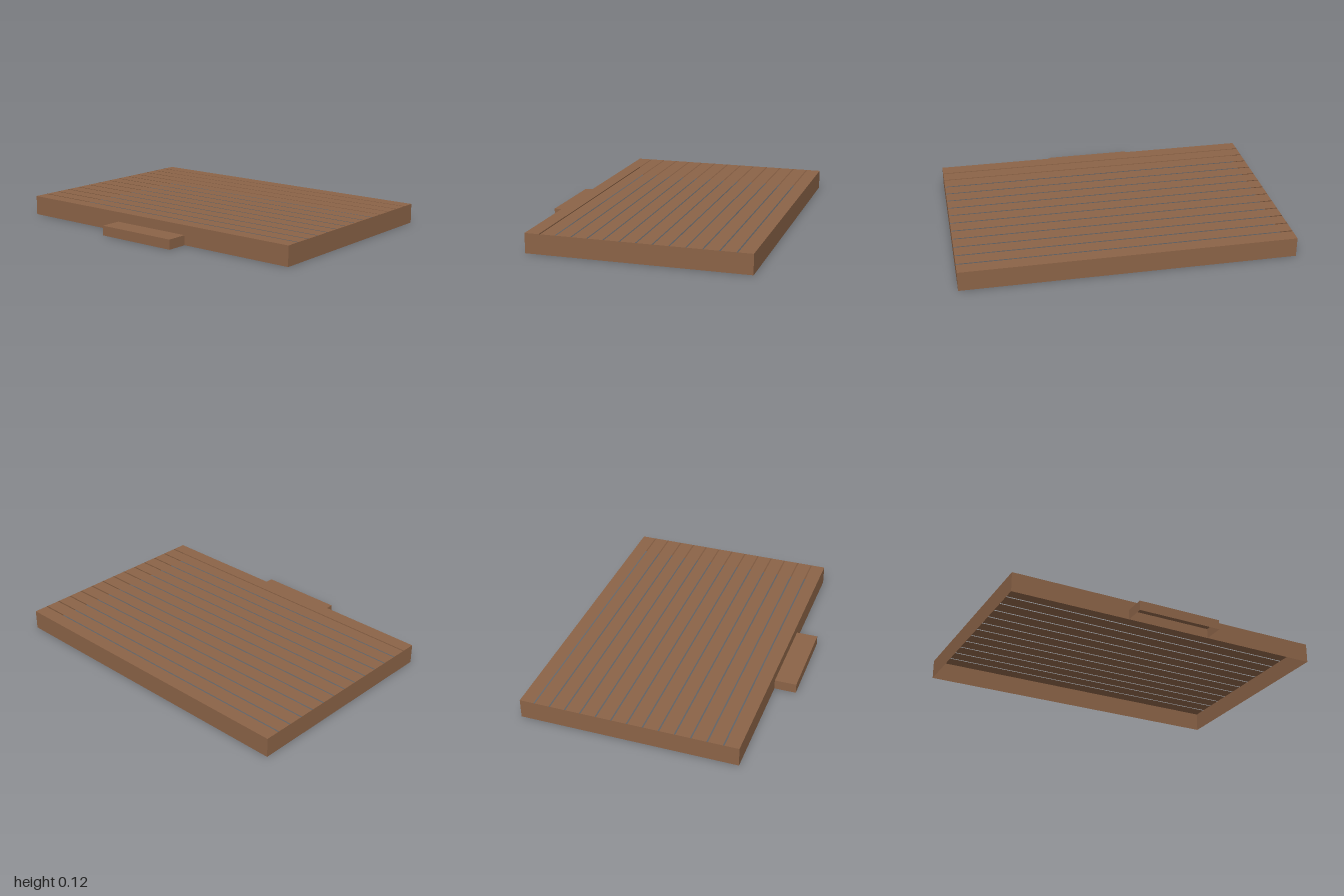
import * as THREE from 'three';

export function createModel() {
  const model = new THREE.Group();
  model.name = 'deck';
  const wood = new THREE.MeshStandardMaterial({ color: 0x8b6347, side: THREE.DoubleSide });
  wood.name = 'brown wood';

  // Thin vertical sheet standing on the ground, facing the given turn about y
  function wall(name, width, height, x, z, turn) {
    const mesh = new THREE.Mesh(new THREE.PlaneGeometry(width, height), wood);
    mesh.name = name;
    mesh.position.set(x, height / 2, z);
    mesh.rotation.y = turn;
    model.add(mesh);
  }

  // Thin horizontal sheet facing up
  function sheet(name, width, depth, y, z) {
    const mesh = new THREE.Mesh(new THREE.PlaneGeometry(width, depth), wood);
    mesh.name = name;
    mesh.position.set(0, y, z);
    mesh.rotation.x = -Math.PI / 2;
    model.add(mesh);
  }

  const back = -0.73, front = 0.597, height = 0.12;
  const depth = front - back, middle = (front + back) / 2;

  // Planks with narrow open gaps
  const count = 14, gap = 0.009;
  const plank = (depth - gap * (count - 1)) / count;
  for (let i = 0; i < count; i++) {
    sheet('plank' + (i + 1), 2, plank, height, back + plank / 2 + i * (plank + gap));
  }

  // Skirt around the deck, open below
  wall('frontSkirt', 2, height, 0, front, 0);
  wall('backSkirt', 2, height, 0, back, Math.PI);
  wall('leftSkirt', depth, height, 1, middle, Math.PI / 2);
  wall('rightSkirt', depth, height, -1, middle, -Math.PI / 2);

  // Low step at the front, open below
  const stepWidth = 0.532, stepHeight = 0.06, stepFront = 0.73;
  const stepDepth = stepFront - front, stepMiddle = (stepFront + front) / 2;
  sheet('stepTread', stepWidth, stepDepth, stepHeight, stepMiddle);
  wall('stepFront', stepWidth, stepHeight, 0, stepFront, 0);
  for (const side of [1, -1]) {
    wall(side > 0 ? 'stepLeftSide' : 'stepRightSide', stepDepth, stepHeight,
      side * stepWidth / 2, stepMiddle, side * Math.PI / 2);
  }

  return model;
}
